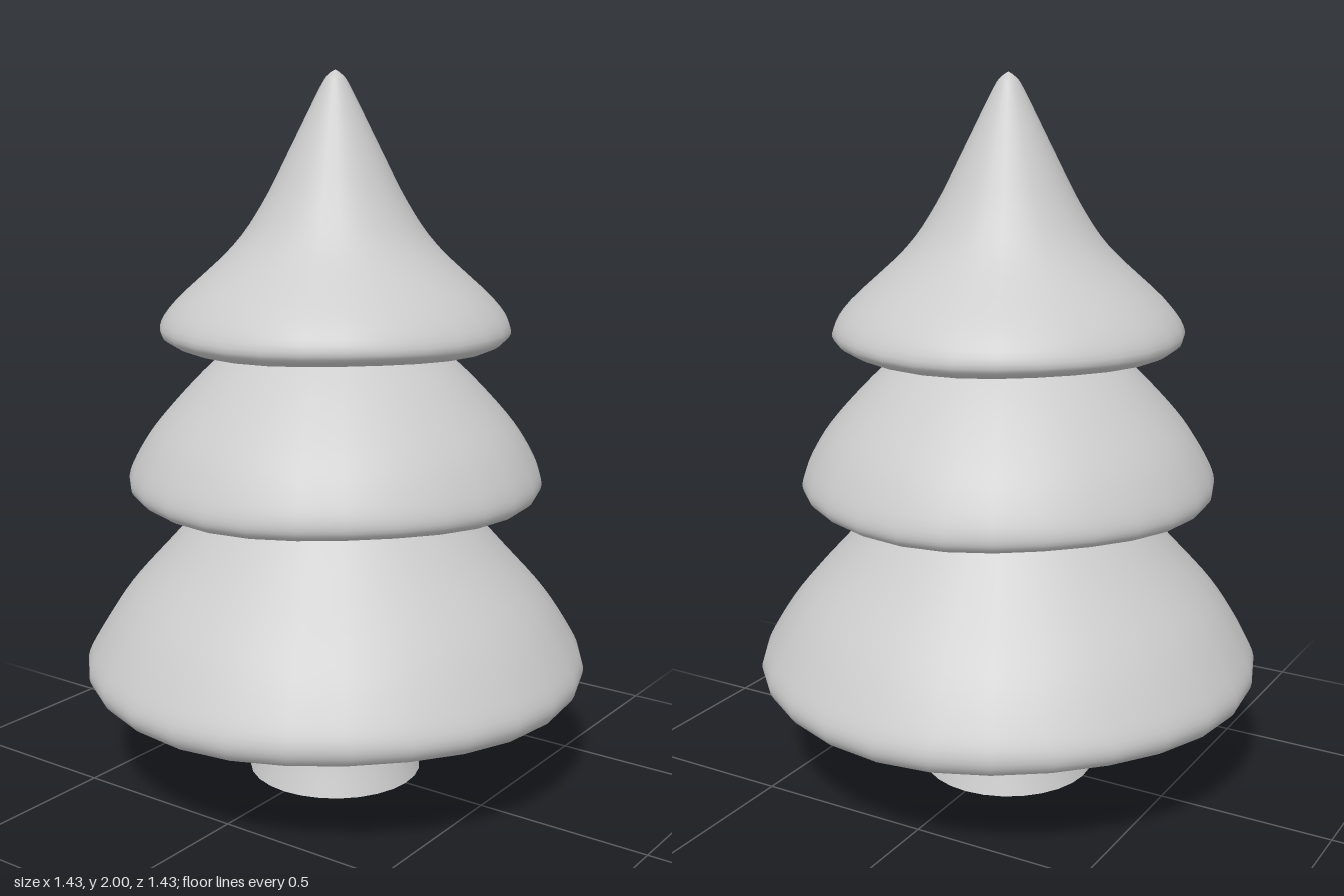
import * as THREE from 'three';

const SEGMENTS = 28;
const material = new THREE.MeshStandardMaterial({ color: 0xcccccc });

// Smooth turned surface through [radius, height] points, listed bottom to top
function turned(name, points, steps) {
  const curve = new THREE.SplineCurve(points.map(([r, y]) => new THREE.Vector2(r, y)));
  const profile = curve.getPoints(steps).map((p) => new THREE.Vector2(Math.max(p.x, 0), p.y));
  const mesh = new THREE.Mesh(new THREE.LatheGeometry(profile, SEGMENTS), material);
  mesh.name = name;
  return mesh;
}

// Gentle wave around the lower rim of a tier
function waveRim(mesh, baseY, amount) {
  const pos = mesh.geometry.attributes.position;
  for (let i = 0; i < pos.count; i++) {
    const x = pos.getX(i), y = pos.getY(i), z = pos.getZ(i);
    const fade = Math.max(0, 1 - (y - baseY) / 0.15) * Math.min(1, Math.hypot(x, z) / 0.4);
    pos.setY(i, y - amount * fade * Math.cos(4 * Math.atan2(z, x)));
  }
}

export function createModel() {
  const tree = new THREE.Group();
  tree.name = 'tree';

  // Flared trunk with a flat foot
  tree.add(turned('trunk', [[0.25, 0], [0.222, 0.09], [0.202, 0.19], [0.198, 0.32]], 10));
  const foot = new THREE.Mesh(new THREE.CircleGeometry(0.25, SEGMENTS), material);
  foot.rotation.x = Math.PI / 2;
  foot.name = 'trunkBase';
  tree.add(foot);

  // Foliage: flat underside, rounded rim, sloping shoulder
  const tiers = [
    ['lowerFoliage', 0.006, [
      [0, 0.286], [0.35, 0.286], [0.62, 0.284], [0.69, 0.29], [0.715, 0.34], [0.68, 0.42],
      [0.6, 0.54], [0.47, 0.685], [0.34, 0.83], [0.26, 0.91], [0, 0.95]]],
    ['middleFoliage', 0.005, [
      [0, 0.836], [0.3, 0.836], [0.51, 0.833], [0.565, 0.84], [0.583, 0.875], [0.56, 0.94],
      [0.5, 1.035], [0.387, 1.16], [0.288, 1.25], [0.22, 1.31], [0, 1.35]]],
    ['topFoliage', 0.003, [
      [0, 1.258], [0.22, 1.257], [0.4, 1.256], [0.465, 1.268], [0.488, 1.305], [0.44, 1.38],
      [0.285, 1.525], [0.2, 1.645], [0.125, 1.79], [0.042, 1.955], [0.018, 1.988], [0, 2]]],
  ];
  for (const [name, wave, points] of tiers) {
    const tier = turned(name, points, 44);
    waveRim(tier, points[0][1], wave);
    tree.add(tier);
  }
  return tree;
}
